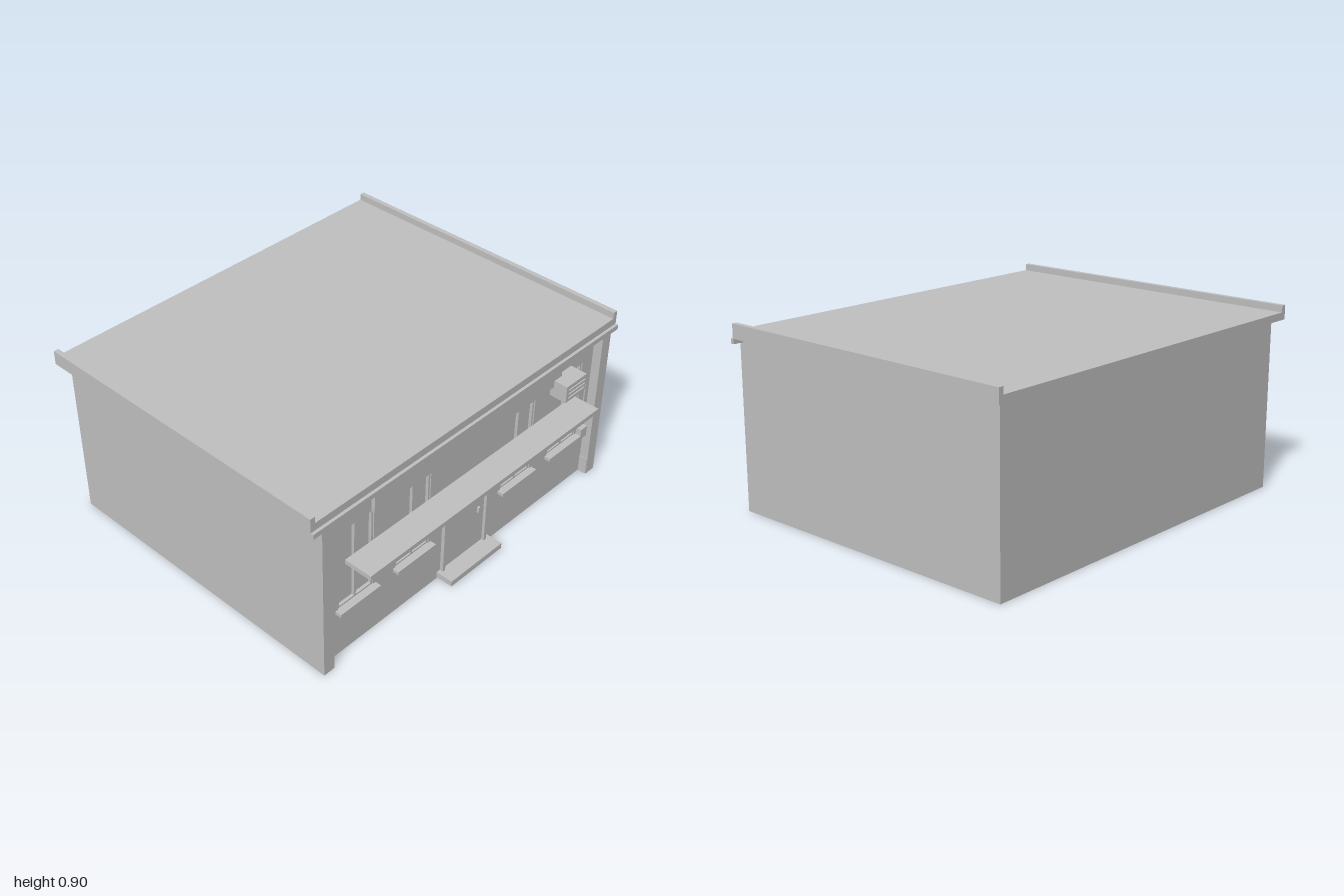
import * as THREE from 'three';

export function createModel() {
  const model = new THREE.Group();
  const grey = new THREE.MeshStandardMaterial({ color: 0xc0c0c0 });
  grey.name = 'plain grey';

  // Box given by its minimum and maximum on each axis
  function box(name, x0, x1, y0, y1, z0, z1, parent = model) {
    const mesh = new THREE.Mesh(new THREE.BoxGeometry(x1 - x0, y1 - y0, z1 - z0), grey);
    mesh.position.set((x0 + x1) / 2, (y0 + y1) / 2, (z0 + z1) / 2);
    mesh.name = name;
    parent.add(mesh);
    return mesh;
  }

  const wallZ = 0.72, glassZ = 0.7;
  const windows = [-0.711, -0.356, 0.356, 0.706];
  const halfW = 0.107, sillY = 0.262, headY = 0.69;

  // Main block, with a front wall pierced by the window openings
  box('mainBlock', -0.95, 0.95, 0, 0.835, -0.82, glassZ);
  const outline = new THREE.Shape();
  outline.moveTo(-0.95, 0).lineTo(0.95, 0).lineTo(0.95, 0.835).lineTo(-0.95, 0.835);
  outline.closePath();
  for (const x of windows) {
    const hole = new THREE.Path();
    hole.moveTo(x - halfW, sillY).lineTo(x - halfW, headY);
    hole.lineTo(x + halfW, headY).lineTo(x + halfW, sillY);
    hole.closePath();
    outline.holes.push(hole);
  }
  const wall = new THREE.Mesh(
    new THREE.ExtrudeGeometry(outline, { depth: wallZ - glassZ, bevelEnabled: false }), grey);
  wall.position.z = glassZ;
  wall.name = 'frontWall';
  model.add(wall);

  // Windows: frame, centre mullion and sill
  for (const x of windows) {
    const win = new THREE.Group();
    win.name = 'window';
    model.add(win);
    for (const dx of [-halfW + 0.005, 0, halfW - 0.005]) {
      box('windowUpright', x + dx - 0.005, x + dx + 0.005, sillY, headY, glassZ, wallZ - 0.005, win);
    }
    for (const y of [sillY, headY - 0.01]) {
      box('windowRail', x - halfW, x + halfW, y, y + 0.01, glassZ, wallZ - 0.005, win);
    }
    box('windowSill', x - 0.123, x + 0.123, 0.247, 0.264, wallZ - 0.01, 0.752, win);
  }

  // Corner pilasters with small plinths
  for (const s of [-1, 1]) {
    const a = 0.89 * s, b = 0.95 * s;
    box('pilaster', Math.min(a, b), Math.max(a, b), 0, 0.835, wallZ, 0.766);
    const c = 0.886 * s;
    box('pilasterBase', Math.min(c, a), Math.max(c, a), 0, 0.09, wallZ, 0.764);
  }

  // Cornice and roof
  box('corniceBack', -0.89, 0.89, 0.81, 0.835, wallZ, 0.75);
  box('cornice', -1, 1, 0.81, 0.835, 0.748, 0.768);
  box('corniceTrim', -0.89, 0.89, 0.8, 0.81, wallZ, 0.735);
  box('roofSlab', -0.975, 0.975, 0.835, 0.872, -0.86, 0.753);
  box('roofParapetRight', -1, -0.975, 0.835, 0.905, -0.86, 0.753);
  box('roofParapetLeft', 0.975, 1, 0.835, 0.905, -0.86, 0.753);

  // Fascia board and entrance canopy
  box('fasciaBoard', -0.62, 0.615, 0.687, 0.785, wallZ, 0.738);
  box('canopy', -0.775, 0.77, 0.498, 0.521, wallZ, 0.864);

  // Door, jambs, handle and step
  box('door', -0.142, 0.131, 0.037, 0.498, wallZ, 0.723);
  box('doorJamb', -0.158, -0.142, 0.037, 0.498, wallZ, 0.738);
  box('doorJamb', 0.131, 0.147, 0.037, 0.498, wallZ, 0.738);
  box('doorHandle', 0.082, 0.094, 0.234, 0.264, 0.723, 0.735);
  box('doorStep', -0.18, 0.173, 0.008, 0.037, wallZ, 0.81);

  // Wall unit with louvres on its front
  box('wallUnit', 0.572, 0.72, 0.634, 0.722, wallZ, 0.81);
  for (const y of [0.652, 0.674, 0.696]) {
    box('louvre', 0.588, 0.706, y, y + 0.006, 0.81, 0.816);
  }
  box('unitBracket', 0.612, 0.626, 0.722, 0.785, wallZ, 0.738);

  // Meter box and its conduit
  box('meterBox', 0.827, 0.873, 0.243, 0.3, wallZ, 0.75);
  const conduit = new THREE.Mesh(new THREE.CylinderGeometry(0.004, 0.004, 0.252, 8), grey);
  conduit.position.set(0.848, 0.426, 0.728);
  conduit.name = 'conduit';
  model.add(conduit);

  return model;
}
